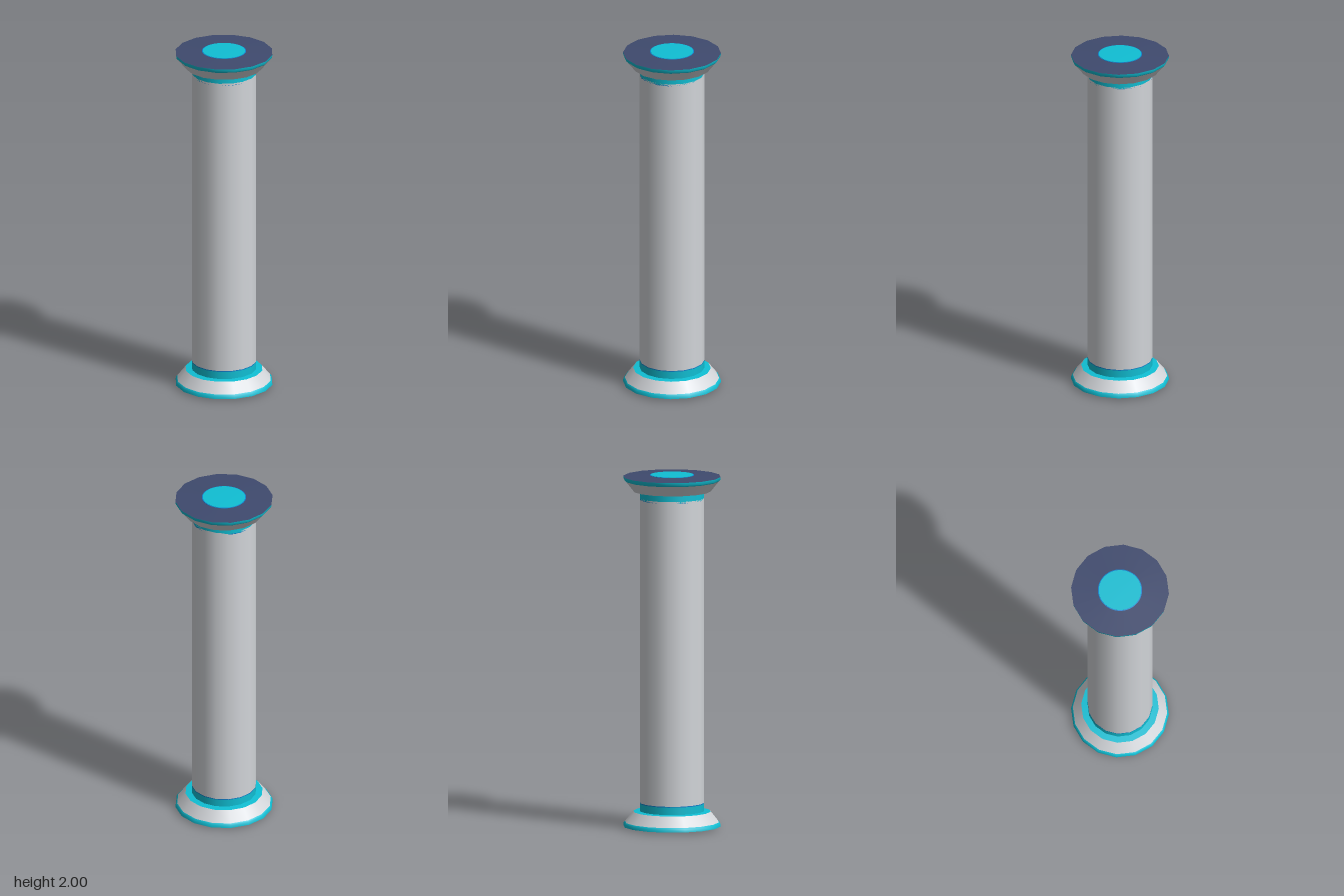
import * as THREE from 'three';

const mat = (name, color) => {
  const m = new THREE.MeshStandardMaterial({ color });
  m.name = name;
  return m;
};

export function createModel() {
  const grey = mat('light grey', 0xd2d5d9);
  const cyan = mat('cyan', 0x10bfd4);
  const blue = mat('blue', 0x1080cc);
  const navy = mat('navy', 0x3f4a6e);
  const dark = mat('dark slate', 0x363a46);

  const group = new THREE.Group();
  group.name = 'column';

  // Ring of faces around the axis; the profile runs with its outside on the right
  const band = (name, material, points, sides = 16) => {
    const profile = points.map(([r, y]) => new THREE.Vector2(r, y));
    const mesh = new THREE.Mesh(new THREE.LatheGeometry(profile, sides, Math.PI / sides), material);
    mesh.name = name;
    group.add(mesh);
  };

  // Shaft
  band('shaft', grey, [[0.182, 0.143], [0.182, 1.869]]);

  // Foot and head share one mirrored profile
  for (const top of [false, true]) {
    const end = top ? 'head' : 'foot';
    const ring = (name, material, points) => {
      const p = points.map(([r, y]) => [r, top ? 2 - y : y]);
      band(end + name, material, top ? p.reverse() : p);
    };
    ring('Rim', cyan, [[0.275, 0.01], [0.273, 0.026], [0.265, 0.034]]);
    ring('Flare', grey, [[0.265, 0.034], [0.218, 0.093]]);
    ring('Ledge', cyan, [[0.218, 0.093], [0.182, 0.096]]);
    ring('Collar', cyan, [[0.182, 0.096], [0.182, 0.138]]);
    ring('CollarEdge', blue, [[0.182, 0.138], [0.182, 0.143]]);
  }

  // Top face with its round inlay
  band('topFace', navy, [[0.275, 1.99], [0.11, 1.997]]);
  band('topInlayEdge', blue, [[0.124, 1.997], [0.124, 1.9985], [0.115, 1.9985]], 48);
  band('topInlay', cyan, [[0.119, 1.9985], [0.119, 2], [0, 2]], 48);

  // Underside rings
  band('undersideCentre', dark, [[0, 0], [0.127, 0.001]], 48);
  band('undersideRing', blue, [[0.127, 0.001], [0.217, 0.005]], 48);
  band('undersideBorder', dark, [[0.21, 0.006], [0.275, 0.01]]);

  return group;
}
